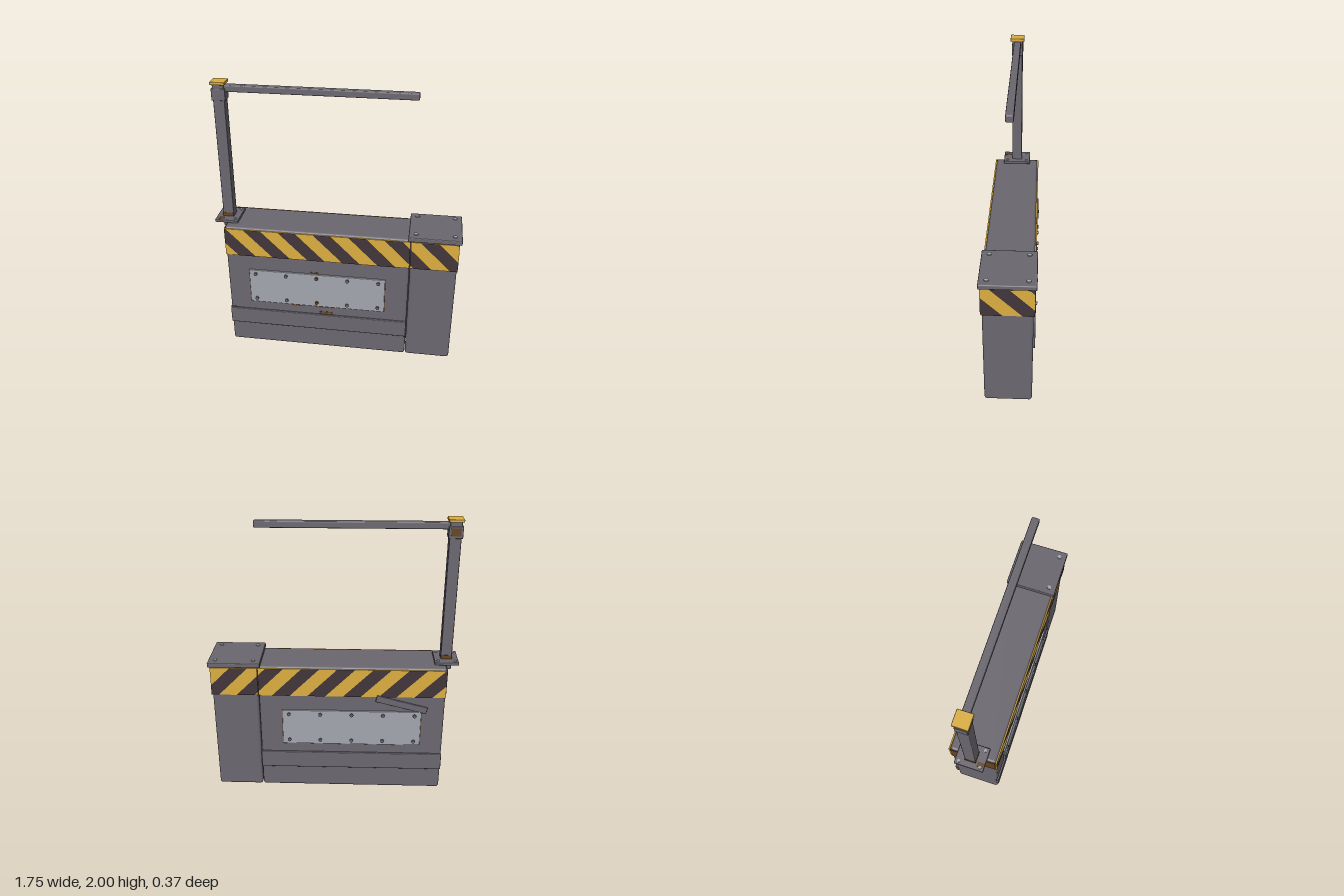
import * as THREE from 'three';
import { RoundedBoxGeometry } from 'three/addons/geometries/RoundedBoxGeometry.js';

export function createModel() {
  const root = new THREE.Group();
  root.name = 'barrier';
  const mat = (name, color) => {
    const m = new THREE.MeshStandardMaterial({ color });
    m.name = name;
    return m;
  };
  const steel = mat('dark steel', 0x6b6770);
  const plate = mat('light steel', 0xa3a6ae);
  const boltMat = mat('bolt steel', 0x66676e);
  const yellow = mat('hazard yellow', 0xdcae40);
  const dark = mat('hazard dark', 0x42363a);
  const rust = mat('rust', 0x654424);

  const add = (name, geo, material, x = 0, y = 0, z = 0) => {
    const m = new THREE.Mesh(geo, material);
    m.name = name;
    m.position.set(x, y, z);
    root.add(m);
    return m;
  };
  // box given by its limits; r rounds the edges
  const box = (name, material, [x0, x1], [y0, y1], [z0, z1], r = 0, seg = 2) => {
    const s = [x1 - x0, y1 - y0, z1 - z0];
    const geo = r ? new RoundedBoxGeometry(...s, seg, r) : new THREE.BoxGeometry(...s);
    return add(name, geo, material, (x0 + x1) / 2, (y0 + y1) / 2, (z0 + z1) / 2);
  };

  // main slab and end block
  box('mainBody', steel, [-0.79, 0.524], [0.005, 0.99], [-0.163, 0.163], 0.02, 3);
  box('endBlock', steel, [0.528, 0.852], [0.005, 0.99], [-0.163, 0.163], 0.02, 3);

  // hazard band: yellow sleeves with slanted dark stripes
  const y0 = 0.77, y1 = 0.98, zBand = 0.172, xEnd = 0.857;
  for (const s of [-1, 1]) {
    const z = s > 0 ? [0.1625, zBand] : [-zBand, -0.1625];
    box('mainBand', yellow, [-0.79, 0.524], [y0, y1], z);
    box('endBand', yellow, [0.528, xEnd], [y0, y1], z);
  }
  box('sideBand', yellow, [0.85, xEnd], [y0, y1], [-zBand, zBand]);

  // keeps the part of a convex outline on one side of a vertical line
  const clip = (pts, edge, sign) => {
    const out = [];
    pts.forEach((a, i) => {
      const b = pts[(i + 1) % pts.length];
      const da = sign * (a.x - edge), db = sign * (b.x - edge);
      if (da >= 0) out.push(a);
      if (da * db < 0) out.push(a.clone().lerp(b, da / (da - db)));
    });
    return out;
  };
  const stripes = (a, b, phase, flip = false) => {
    const shapes = [], period = 0.25, width = 0.125, lean = y1 - y0;
    for (let k = -10; k < 10; k++) {
      const t = phase + k * period;
      let pts = [[t, y1], [t + lean, y0], [t + lean + width, y0], [t + width, y1]]
        .map(([x, y]) => new THREE.Vector2(x, y));
      pts = clip(clip(pts, a, 1), b, -1);
      if (pts.length < 3) continue;
      if (flip) pts = pts.map((p) => new THREE.Vector2(-p.x, p.y));
      shapes.push(new THREE.Shape(pts));
    }
    return new THREE.ShapeGeometry(shapes);
  };
  for (const [a, b] of [[-0.79, 0.524], [0.528, xEnd]]) {
    add('frontStripes', stripes(a, b, -0.655), dark, 0, 0, zBand + 0.0015);
    add('backStripes', stripes(a, b, -0.655, true), dark, 0, 0, -zBand - 0.0015).rotation.y = Math.PI;
  }
  add('sideStripes', stripes(-zBand, zBand, -0.115), dark, xEnd + 0.0015).rotation.y = Math.PI / 2;
  box('rustedEnd', rust, [-0.793, -0.787], [y0, y1], [-0.16, 0.16]);

  // belts and riveted panels on both faces
  const bolt = (x, y, z, r, h, material) => add('bolt', new THREE.CylinderGeometry(r, r, h, 8), material, x, y, z);
  for (const s of [-1, 1]) {
    const layer = (d0, d1) => (s > 0 ? [d0, d1] : [-d1, -d0]);
    box('belt', steel, [-0.791, 0.525], [0.175, 0.305], layer(0.155, 0.177), 0.005, 1);
    box('panel', plate, [-0.627, 0.361], [0.378, 0.654], layer(0.16, 0.175), 0.004, 1);
    box('panelRustEdge', rust, [-0.63, 0.364], [0.38, 0.652], layer(0.16, 0.168));
    for (let i = 0; i < 5; i++)
      for (const y of [0.413, 0.623])
        bolt(-0.58 + i * 0.2235, y, s * 0.178, 0.013, 0.016, s > 0 && i === 2 ? rust : boltMat)
          .rotation.x = Math.PI / 2;
  }

  // rust marks on the front: centre x, centre y, width, height
  for (const [x, y, w, h] of [[-0.275, 0.37, 0.1, 0.014], [-0.08, 0.372, 0.14, 0.014],
    [-0.07, 0.324, 0.1, 0.012], [-0.145, 0.661, 0.06, 0.012], [-0.4, 0.17, 0.1, 0.008],
    [-0.755, 0.308, 0.07, 0.006], [-0.07, 0.308, 0.1, 0.006]])
    box('rustMark', rust, [x - w / 2, x + w / 2], [y - h / 2, y + h / 2], [0.16, 0.1645]);

  // loose strip hanging on the back
  const strip = add('looseStrip', new RoundedBoxGeometry(0.37, 0.05, 0.012, 1, 0.003), steel, -0.485, 0.715, -0.176);
  strip.rotation.z = 0.25;

  // cap over the end block
  box('endCap', steel, [0.507, 0.872], [0.986, 1.02], [-0.182, 0.182], 0.006, 1);
  for (const x of [0.557, 0.822])
    for (const z of [-0.13, 0.13]) bolt(x, 1.021, z, 0.015, 0.014, plate);

  // post with foot plate, collar and cap
  box('footPlate', steel, [-0.874, -0.707], [0.991, 1.012], [-0.103, 0.103], 0.004, 1);
  for (const x of [-0.851, -0.731])
    for (const z of [-0.075, 0.075]) bolt(x, 1.013, z, 0.011, 0.012, plate);
  box('footRust', rust, [-0.85, -0.815], [1.008, 1.0135], [0.05, 0.1]);
  box('post', steel, [-0.83, -0.752], [0.93, 1.982], [-0.038, 0.038], 0.006, 1);
  box('postRust', rust, [-0.832, -0.754], [1.012, 1.04], [-0.039, 0.039]);
  box('collar', steel, [-0.839, -0.744], [1.872, 1.953], [-0.04, 0.04], 0.004, 1);
  box('collarRust', rust, [-0.825, -0.76], [1.89, 1.94], [-0.0415, -0.036]);
  box('postCap', yellow, [-0.841, -0.741], [1.98, 2.0], [-0.05, 0.05], 0.004, 1);

  // horizontal arm
  box('arm', steel, [-0.77, 0.525], [1.929, 1.975], [-0.025, 0.025], 0.008, 1);

  return root;
}
